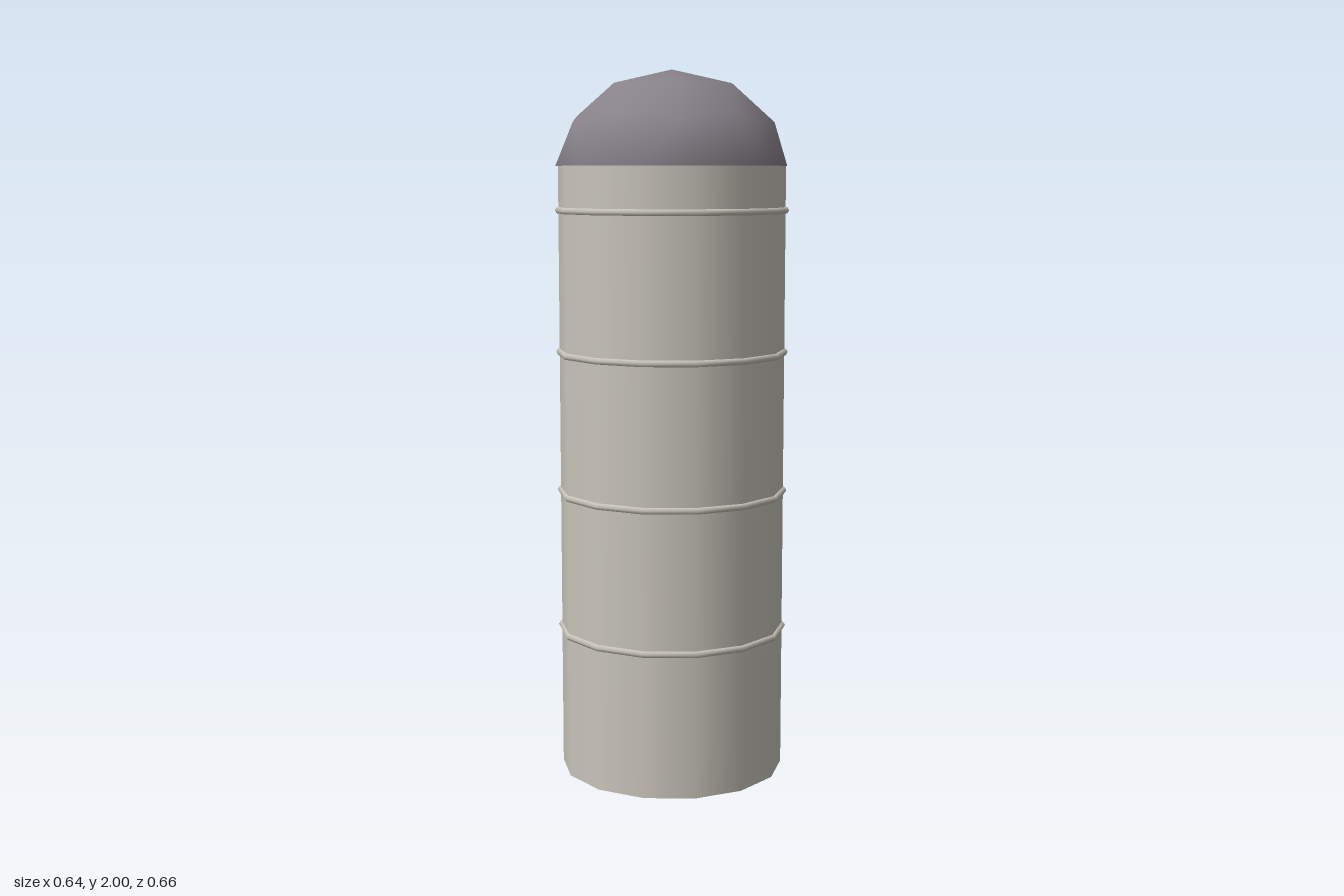
import * as THREE from 'three';

const SIDES = 14;
const RADIUS = 0.32;
const WALL_TOP = 1.735;

// Upper half of a once-divided icosahedron, with one corner straight up
function domeGeometry(radius, height) {
  const ball = new THREE.IcosahedronGeometry(1, 1);
  ball.rotateZ(-Math.atan(2 / (1 + Math.sqrt(5))));
  const p = ball.attributes.position, n = ball.attributes.normal;
  const positions = [], normals = [];
  for (let i = 0; i < p.count; i += 3) {
    if (p.getY(i) + p.getY(i + 1) + p.getY(i + 2) < 0.01) continue;
    for (let k = i; k < i + 3; k++) {
      positions.push(p.getX(k), p.getY(k), p.getZ(k));
      normals.push(n.getX(k), n.getY(k), n.getZ(k));
    }
  }
  const dome = new THREE.BufferGeometry();
  dome.setAttribute('position', new THREE.Float32BufferAttribute(positions, 3));
  dome.setAttribute('normal', new THREE.Float32BufferAttribute(normals, 3));
  return dome.scale(radius, height, radius);
}

export function createModel() {
  const group = new THREE.Group();
  group.name = 'silo';

  const wallPaint = new THREE.MeshStandardMaterial({ color: 0xc8c4ba, side: THREE.DoubleSide });
  wallPaint.name = 'pale grey';
  const roofPaint = new THREE.MeshStandardMaterial({ color: 0x88828a, side: THREE.DoubleSide });
  roofPaint.name = 'dark grey';

  const add = (name, geometry, material, y) => {
    const mesh = new THREE.Mesh(geometry, material);
    mesh.name = name;
    mesh.position.y = y;
    group.add(mesh);
  };

  // Open-ended wall
  add('wall', new THREE.CylinderGeometry(RADIUS, RADIUS, WALL_TOP, SIDES, 1, true), wallPaint, WALL_TOP / 2);

  // Raised hoops around the wall
  const hoop = new THREE.TorusGeometry(RADIUS, 0.01, 6, SIDES);
  hoop.rotateX(Math.PI / 2).rotateY(Math.PI / 2);
  for (let i = 0; i < 4; i++) add('hoop' + (i + 1), hoop, wallPaint, 0.412 + i * 0.4);

  // Domed roof
  add('roof', domeGeometry(0.326, 2 - WALL_TOP), roofPaint, WALL_TOP);

  return group;
}
